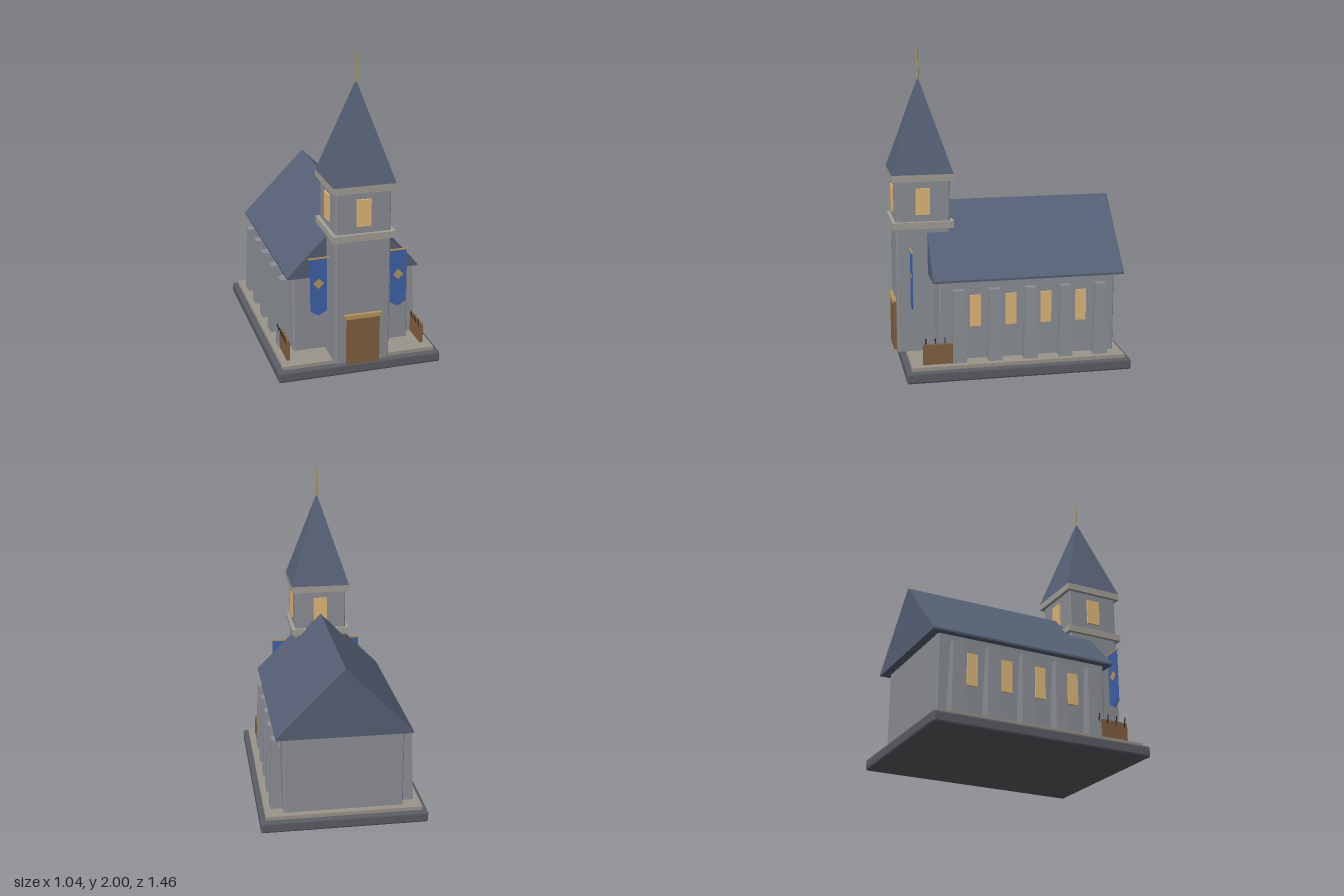
import * as THREE from 'three';
import { RoundedBoxGeometry } from 'three/addons/geometries/RoundedBoxGeometry.js';

const material = (color, side = THREE.FrontSide) =>
  new THREE.MeshStandardMaterial({ color, side, flatShading: true });

export function createModel() {
  const model = new THREE.Group();
  const stone = material(0x8c8f96);
  const darkStone = material(0x5c5d64);
  const paving = material(0x9a958a);
  const trim = material(0xa3a097);
  const slate = material(0x566075);
  const wood = material(0x80603f);
  const brass = material(0xb5965a);
  const glow = material(0xe0b878);
  const cloth = material(0x3f62a8);
  const iron = material(0x2c2c30);

  const add = (name, geometry, mat, x = 0, y = 0, z = 0, parent = model) => {
    const mesh = new THREE.Mesh(geometry, mat);
    mesh.name = name;
    mesh.position.set(x, y, z);
    parent.add(mesh);
    return mesh;
  };
  const box = (w, h, d) => new THREE.BoxGeometry(w, h, d);
  const bevelBox = (w, h, d, r) => new RoundedBoxGeometry(w, h, d, 1, r);
  // flat outline from points, extruded along z and centred on it
  const slab = (points, depth) => {
    const shape = new THREE.Shape(points.map(([x, y]) => new THREE.Vector2(x, y)));
    return new THREE.ExtrudeGeometry(shape, { depth, bevelEnabled: false }).translate(0, 0, -depth / 2);
  };
  // box whose upper end shrinks to the given width and depth
  const taperedBox = (w, h, d, topW, topD) => {
    const geometry = box(w, h, d);
    const p = geometry.attributes.position;
    for (let i = 0; i < p.count; i++) {
      if (p.getY(i) > 0) p.setXYZ(i, p.getX(i) * topW / w, p.getY(i), p.getZ(i) * topD / d);
    }
    geometry.computeVertexNormals();
    return geometry;
  };

  // ground slabs
  add('base', bevelBox(1.045, 0.07, 1.42, 0.012), darkStone, 0, 0.04, -0.022);
  add('paving', box(0.98, 0.03, 1.352), paving, 0, 0.083, -0.022);

  // nave and gable roof
  const floor = 0.095;
  add('naveWalls', bevelBox(0.75, 0.53, 1.12, 0.008), stone, 0, floor + 0.26, -0.093);
  add('naveRoof', slab([[-0.42, 0.605], [0.42, 0.605], [0.42, 0.618], [0, 1.045], [-0.42, 0.618]], 1.215),
    slate, 0, 0, -0.098);

  // buttresses, side windows and spear racks on both sides
  for (const side of [-1, 1]) {
    for (let i = 0; i < 5; i++) {
      const z = 0.352 - i * 0.2255;
      add('buttress', taperedBox(0.078, 0.46, 0.088, 0.045, 0.066), stone, side * 0.413, floor + 0.23, z);
      if (i < 4) add('naveWindow', box(0.03, 0.2, 0.068), glow, side * 0.37, 0.41, z - 0.11);
    }

    const rack = new THREE.Group();
    rack.name = 'spearRack';
    rack.position.set(side * 0.436, floor, 0.47);
    model.add(rack);
    add('rackPanel', box(0.02, 0.13, 0.22), wood, 0, 0.065, 0, rack);
    for (let i = 0; i < 4; i++) {
      const spear = add('spear', new THREE.CylinderGeometry(0.004, 0.004, 0.11, 6), iron,
        -0.008, 0.108, -0.09 + i * 0.06, rack);
      spear.rotation.z = 0.24;
    }
  }

  // bell tower, built around its own axis
  const tower = new THREE.Group();
  tower.name = 'tower';
  tower.position.z = 0.536;
  model.add(tower);
  add('towerShaft', bevelBox(0.342, 1.13, 0.342, 0.008), stone, 0, floor + 0.56, 0, tower);
  for (const y of [0.922, 1.222]) add('towerLedge', box(0.388, 0.043, 0.388), trim, 0, y, 0, tower);
  const spire = new THREE.ConeGeometry(0.194 * Math.SQRT2, 0.59, 4).rotateY(Math.PI / 4);
  add('spire', spire, slate, 0, 1.538, 0, tower);
  add('finial', new THREE.CylinderGeometry(0.006, 0.006, 0.2, 6), brass, 0, 1.9, 0, tower);
  for (let i = 0; i < 4; i++) {
    const geometry = box(0.09, 0.168, 0.024).translate(0, 0, 0.17).rotateY(i * Math.PI / 2);
    add('belfryWindow', geometry, glow, 0, 1.072, 0, tower);
  }

  // entrance
  add('door', box(0.208, 0.305, 0.04), wood, 0, floor + 0.152, 0.706);
  add('doorLintel', slab([[-0.112, 0], [0.112, 0], [0.119, 0.012], [0.119, 0.026], [-0.119, 0.026], [-0.119, 0.012]], 0.045),
    brass, 0, 0.398, 0.708);

  // banners flanking the tower
  for (const side of [-1, 1]) {
    const banner = new THREE.Group();
    banner.name = 'banner';
    banner.position.set(side * 0.254, 0, 0.623);
    model.add(banner);
    add('bannerCloth', slab([[-0.052, 0.432], [0, 0.4], [0.052, 0.432], [0.052, 0.772], [-0.052, 0.772]], 0.005),
      cloth, 0, 0, 0, banner);
    add('bannerRod', box(0.132, 0.009, 0.009), brass, 0, 0.776, 0, banner);
    add('bannerDiamond', slab([[-0.034, 0], [0, -0.034], [0.034, 0], [0, 0.034]], 0.009), brass, 0, 0.613, 0, banner);
  }

  return model;
}
